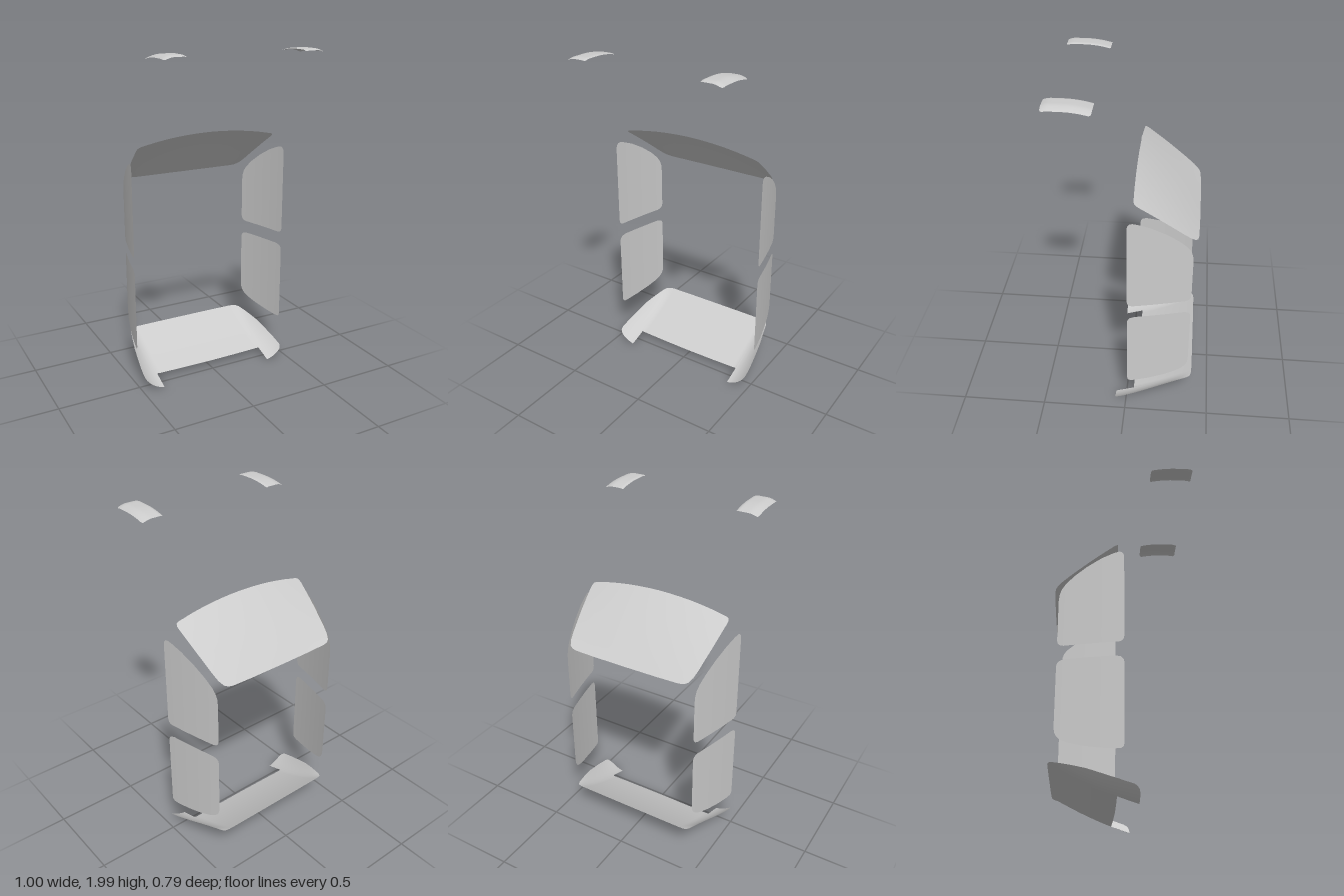
import * as THREE from 'three';

const glass = new THREE.MeshStandardMaterial({ color: 0xcccccc, side: THREE.DoubleSide });
glass.name = 'pale grey glass';

// Curved sheet: columns [u, vMin, vMax] give its outline, place(u, v) bends it into space
function sheet(name, columns, place, perSpan = 3, rows = 14) {
  const cols = [];
  columns.forEach((c, i) => {
    const next = columns[i + 1];
    if (!next) return cols.push(c);
    const n = Math.abs(next[0] - c[0]) < 0.002 ? 1 : perSpan;
    for (let k = 0; k < n; k++) cols.push(c.map((a, j) => a + (next[j] - a) * k / n));
  });
  const pos = [], index = [];
  cols.forEach(([u, v0, v1], i) => {
    for (let j = 0; j <= rows; j++) {
      pos.push(...place(u, v0 + (v1 - v0) * j / rows));
      if (i && j) {
        const d = i * (rows + 1) + j, c = d - rows - 1;
        index.push(c - 1, c, d, c - 1, d, d - 1);
      }
    }
  });
  const g = new THREE.BufferGeometry();
  g.setAttribute('position', new THREE.Float32BufferAttribute(pos, 3));
  g.setIndex(index);
  g.computeVertexNormals();
  const mesh = new THREE.Mesh(g, glass);
  mesh.name = name;
  return mesh;
}

// Full-width outline from its x >= 0 half
const mirrored = (half) => [...half.slice(1).reverse().map(([u, a, b]) => [-u, a, b]), ...half];

// Windshield: gently dished, with raised sides and a tab at each lower corner
const windshieldHalf = [
  [0, -0.397, -0.04], [0.2, -0.397, -0.042], [0.34, -0.396, -0.045], [0.364, -0.394, -0.045],
  [0.365, -0.394, 0.065], [0.39, -0.385, 0.065], [0.402, -0.365, 0.065], [0.425, -0.28, 0.065],
  [0.445, -0.2, 0.064], [0.46, -0.11, 0.06], [0.47, -0.04, 0.05], [0.475, 0.02, 0.035],
];
function windshieldPoint(x, z) {
  const t = 0.064 - z, back = Math.max(0, 0.03 - z);
  const edge = 0.475 - 0.075 * Math.pow(back / 0.4, 1.5);
  const s = Math.max(0, (Math.abs(x) - 0.34) / (edge - 0.34));
  const lift = 0.065 * Math.max(0, 1 - Math.pow(back / 0.42, 2.7));
  return [x, 0.005 + 0.3 * t + 0.31 * t * t + lift * s * s, z];
}

// Rear window: sloped and bowed across its width
const rearHalf = [
  [0, -0.397, -0.04], [0.2, -0.396, -0.041], [0.33, -0.393, -0.043], [0.36, -0.388, -0.044],
  [0.38, -0.376, -0.045], [0.395, -0.35, -0.045], [0.405, -0.31, -0.045], [0.424, -0.2, -0.046],
  [0.435, -0.12, -0.05], [0.441, -0.075, -0.062],
];
function rearPoint(x, z) {
  const t = -0.04 - z;
  const bow = 0.047 * (x / 0.44) ** 2 * Math.pow(Math.max(0, z + 0.4) / 0.36, 0.6);
  return [x, 1.515 - 0.77 * t - 0.276 * t * t - bow, z];
}

// Door windows: outlines as [z, yMin, yMax]
const rearDoor = [
  [-0.016, 0.86, 1.345], [-0.02, 0.842, 1.365], [-0.03, 0.832, 1.377], [-0.045, 0.828, 1.38],
  [-0.075, 0.828, 1.372], [-0.14, 0.828, 1.345], [-0.22, 0.828, 1.298], [-0.29, 0.828, 1.245],
  [-0.335, 0.828, 1.2], [-0.355, 0.834, 1.17], [-0.365, 0.845, 1.14], [-0.369, 0.86, 1.1],
];
const frontDoor = [
  [-0.016, 0.275, 0.71], [-0.02, 0.258, 0.728], [-0.032, 0.25, 0.742], [-0.06, 0.249, 0.749],
  [-0.14, 0.257, 0.749], [-0.23, 0.273, 0.749], [-0.3, 0.293, 0.749], [-0.335, 0.31, 0.748],
  [-0.355, 0.33, 0.741], [-0.365, 0.35, 0.73], [-0.369, 0.375, 0.715],
];
const doorPoint = (side) => (z, y) => {
  const t = (-0.016 - z) / 0.354;
  return [side * (0.5 - 0.085 * t + 0.02 * t * (1 - t)), y, z];
};

// Lamp covers: small shells rolled down at the edges
const lamp = [
  [0.352, 0.155, 0.388], [0.356, 0.149, 0.395], [0.37, 0.148, 0.396], [0.42, 0.148, 0.396],
  [0.46, 0.149, 0.396], [0.471, 0.153, 0.392], [0.476, 0.162, 0.383],
];
const roll = (distance, width, depth) => depth * (Math.max(0, distance) / width) ** 2;
const lampPoint = (side) => (x, z) => [
  side * x,
  2 - roll(0.3 - z, 0.15, 0.02) - roll(z - 0.36, 0.035, 0.008)
    - roll(x - 0.42, 0.055, 0.017) - roll(0.372 - x, 0.02, 0.005),
  z,
];

export function createModel() {
  const model = new THREE.Group();
  model.name = 'vehicleGlass';
  model.add(sheet('windshield', mirrored(windshieldHalf), windshieldPoint));
  model.add(sheet('rearWindow', mirrored(rearHalf), rearPoint));
  for (const [label, side] of [['left', 1], ['right', -1]]) {
    model.add(sheet(label + 'FrontDoorWindow', frontDoor, doorPoint(side)));
    model.add(sheet(label + 'RearDoorWindow', rearDoor, doorPoint(side)));
    model.add(sheet(label + 'LampCover', lamp, lampPoint(side)));
  }
  return model;
}
